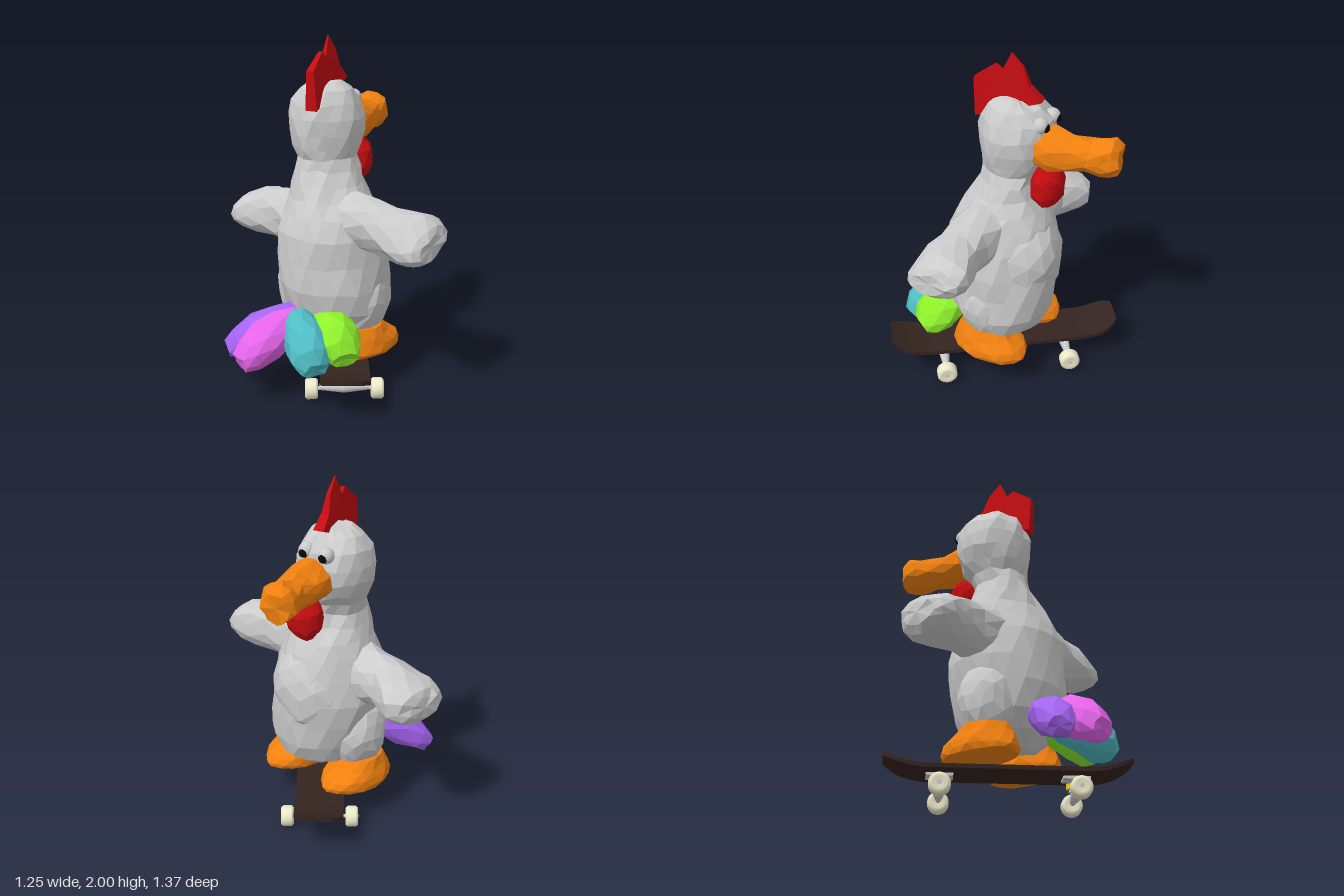
import * as THREE from 'three';

const mat = (color, flatShading = true) =>
  new THREE.MeshStandardMaterial({ color, flatShading, side: THREE.DoubleSide });
const GREY = mat(0xcccccc), RED = mat(0xc40c10), ORANGE = mat(0xf08010);
const METAL = mat(0xcccccc, false), WHEEL = mat(0xeeeacb, false), BLACK = mat(0x080808, false);
const UP = new THREE.Vector3(0, 1, 0);

function add(parent, name, geo, material, x = 0, y = 0, z = 0) {
  const m = new THREE.Mesh(geo, material);
  m.name = name;
  m.position.set(x, y, z);
  parent.add(m);
  return m;
}

// small position-based unevenness for the hand-cut, faceted look
function roughen(geo, amount) {
  const p = geo.attributes.position;
  for (let i = 0; i < p.count; i++) {
    const x = p.getX(i), y = p.getY(i), z = p.getZ(i);
    p.setXYZ(i,
      x + amount * Math.sin(47 * x + 61 * y + 29 * z),
      y + amount * Math.sin(31 * x - 43 * y + 57 * z + 2),
      z + amount * Math.sin(53 * x + 37 * y - 41 * z + 4));
  }
  geo.computeVertexNormals();
  return geo;
}

// skin over parallel elliptical sections: [x, y, z, halfWidth, halfHeight], stacked along t
function loft(rows, sides, t, rough = 0.008) {
  const centre = r => new THREE.Vector3(r[0], r[1], r[2]);
  const last = rows.length - 1;
  t ??= centre(rows[last]).sub(centre(rows[0])).normalize();
  const ref = t === UP ? new THREE.Vector3(0, 0, 1) : UP;
  const s = ref.clone().cross(t).normalize(), v = t.clone().cross(s);
  const pos = [], idx = [];
  rows.forEach((r, i) => {
    for (let j = 0; j < sides; j++) {
      const a = (j + (i % 2) / 2) / sides * Math.PI * 2;
      pos.push(...centre(r).addScaledVector(s, Math.cos(a) * r[3]).addScaledVector(v, Math.sin(a) * r[4]).toArray());
    }
  });
  const first = rows.length * sides;
  pos.push(...rows[0].slice(0, 3), ...rows[last].slice(0, 3));
  for (let j = 0; j < sides; j++) {
    const k = (j + 1) % sides;
    for (let i = 0; i < last; i++) {
      const a = i * sides + j, b = i * sides + k, c = b + sides, d = a + sides;
      if (i % 2) idx.push(a, b, c, a, c, d);
      else idx.push(a, b, d, b, c, d);
    }
    idx.push(first, k, j, first + 1, last * sides + j, last * sides + k);
  }
  const g = new THREE.BufferGeometry();
  g.setAttribute('position', new THREE.Float32BufferAttribute(pos, 3));
  g.setIndex(idx);
  return roughen(g, rough);
}

const blob = (rx, ry, rz) => roughen(new THREE.IcosahedronGeometry(1, 2).scale(rx, ry, rz), 0.006);

function buildSkateboard() {
  const board = new THREE.Group();
  board.name = 'skateboard';
  board.position.x = 0.072;

  // deck with rounded, upturned ends
  const deck = new THREE.BoxGeometry(0.28, 0.024, 1.37, 6, 1, 48);
  const p = deck.attributes.position;
  for (let i = 0; i < p.count; i++) {
    const z = Math.abs(p.getZ(i));
    const k = Math.max(0, (z - 0.54) / 0.145), rise = Math.max(0, z - 0.44);
    p.setX(i, p.getX(i) * Math.sqrt(1 - 0.65 * k ** 3));
    p.setY(i, p.getY(i) + 0.178 + 1.2 * rise * rise);
  }
  deck.computeVertexNormals();
  add(board, 'deck', deck, mat(0x35241f));

  // wheel profile turned around its axle
  const wheel = new THREE.LatheGeometry([[0, -0.032], [0.035, -0.036], [0.05, -0.036], [0.06, -0.024],
    [0.06, 0.024], [0.05, 0.036], [0.035, 0.036], [0, 0.032]].map(q => new THREE.Vector2(...q)), 28).rotateZ(Math.PI / 2);
  for (const side of [-1, 1]) {
    const truck = new THREE.Group();
    truck.name = 'truck';
    truck.position.z = side * 0.375;
    board.add(truck);
    add(truck, 'basePlate', new THREE.BoxGeometry(0.1, 0.016, 0.15), METAL, 0, 0.158, 0);
    add(truck, 'axle', new THREE.CylinderGeometry(0.011, 0.011, 0.45, 12).rotateZ(Math.PI / 2), METAL, 0, 0.062, 0);
    for (const e of [-1, 1]) {
      add(truck, 'hanger', new THREE.CylinderGeometry(0.018, 0.034, 0.14, 12).rotateZ(-e * Math.PI / 2), METAL, e * 0.07, 0.07, 0);
      add(truck, 'wheel', wheel, WHEEL, e * 0.187, 0.06, 0);
    }
    add(truck, 'pivot', new THREE.CylinderGeometry(0.022, 0.03, 0.08, 12), METAL, 0, 0.11, 0).rotation.x = side * 0.4;
    add(truck, 'bushing', new THREE.CylinderGeometry(0.026, 0.026, 0.03, 14), mat(0xe8d020, false), 0, 0.115, -side * 0.03);
  }
  return board;
}

// turned group: local +z is the way the bird's body faces
function buildLimbs() {
  const limbs = new THREE.Group();
  limbs.name = 'limbs';
  limbs.rotation.y = Math.PI * 0.75;

  // wings, flaring towards blunt ends
  const wing = e => loft([[0.1, 0.01, 0, 0.17, 0.18], [0.22, 0.01, 0.01, 0.155, 0.175], [0.34, 0.005, 0.02, 0.135, 0.16],
    [0.44, 0, 0.02, 0.14, 0.15], [0.54, -0.01, 0.03, 0.175, 0.145], [0.62, -0.02, 0.04, 0.195, 0.13],
    [0.69, -0.03, 0.035, 0.17, 0.105], [0.72, -0.035, 0.03, 0.115, 0.065]].map(r => [e * r[0], ...r.slice(1)]), 12);
  add(limbs, 'rightWing', wing(1), GREY, 0, 0.895, -0.02);
  add(limbs, 'leftWing', wing(-1), GREY, 0, 0.965, 0).rotation.x = -0.25;

  // chest swelling forward
  add(limbs, 'chest', blob(0.27, 0.31, 0.26), GREY, 0, 0.78, 0.115);

  // broad flat feet, ankles and thighs
  for (const [e, f] of [[1, 0.02], [-1, 0.07]]) {
    const leg = new THREE.Group();
    leg.name = 'leg';
    leg.position.set(e * 0.215, 0, f);
    limbs.add(leg);
    add(leg, 'foot', loft([[0, 0.198, 0, 0.155, 0.235], [0, 0.225, 0, 0.165, 0.245], [0, 0.265, -0.005, 0.16, 0.225],
      [0, 0.31, -0.03, 0.14, 0.175], [0, 0.36, -0.04, 0.12, 0.14]], 16, UP, 0.005), ORANGE);
    add(leg, 'thigh', blob(0.165, 0.23, 0.18), GREY, -e * 0.025, 0.51, -0.03);
  }
  return limbs;
}

function buildHead() {
  const head = new THREE.Group();
  head.name = 'head';

  // beak with a swollen tip
  add(head, 'beak', loft([[0.08, 1.485, -0.19, 0.125, 0.125], [0.13, 1.48, -0.26, 0.13, 0.125], [0.175, 1.47, -0.35, 0.115, 0.107],
    [0.22, 1.472, -0.44, 0.105, 0.092], [0.25, 1.478, -0.51, 0.108, 0.108], [0.27, 1.475, -0.56, 0.103, 0.113],
    [0.285, 1.46, -0.6, 0.08, 0.085]], 12), ORANGE);

  add(head, 'wattle', blob(0.115, 0.14, 0.09), RED, 0.152, 1.268, -0.232).rotation.y = Math.PI * 0.75;

  // eyes with pupils
  for (const [x, z] of [[0.032, -0.272], [0.138, -0.185]]) {
    add(head, 'eye', new THREE.SphereGeometry(0.045, 20, 14), METAL, x, 1.63, z);
    add(head, 'pupil', new THREE.SphereGeometry(0.027, 16, 12), BLACK, x + 0.015, 1.623, z - 0.023);
  }

  // jagged comb, thin towards the top
  const outline = [[-0.15, 1.61], [0, 1.66], [0.23, 1.745], [0.155, 1.82], [0.12, 1.92], [0.05, 2], [0, 1.89], [-0.04, 1.92], [-0.16, 1.83]];
  const comb = new THREE.ExtrudeGeometry(new THREE.Shape(outline.map(q => new THREE.Vector2(...q))),
    { depth: 0.07, bevelEnabled: false }).translate(0, 0, -0.035);
  const p = comb.attributes.position;
  for (let i = 0; i < p.count; i++)
    p.setZ(i, p.getZ(i) * THREE.MathUtils.clamp((2.02 - p.getY(i)) / 0.3, 0.1, 1));
  comb.computeVertexNormals();
  add(head, 'comb', comb, RED, -0.035, 0, -0.01).rotation.y = 1.07;
  return head;
}

export function createModel() {
  const model = new THREE.Group();
  model.name = 'skatingBird';
  model.add(buildSkateboard(), buildLimbs(), buildHead());

  // pear-shaped body running up through the neck into the round head
  add(model, 'body', loft([[0.05, 0.28, 0, 0.15, 0.15], [0.06, 0.35, 0, 0.26, 0.24], [0.045, 0.46, 0, 0.31, 0.3],
    [0.03, 0.6, 0, 0.325, 0.325], [0.02, 0.75, -0.01, 0.325, 0.33], [0.01, 0.9, -0.01, 0.305, 0.32], [0.005, 1.02, -0.02, 0.265, 0.285],
    [0, 1.1, -0.03, 0.23, 0.24], [-0.01, 1.18, -0.03, 0.205, 0.19], [-0.01, 1.26, -0.04, 0.185, 0.155],
    [-0.015, 1.32, -0.06, 0.175, 0.16], [-0.018, 1.38, -0.08, 0.195, 0.19], [-0.018, 1.46, -0.09, 0.213, 0.213],
    [-0.018, 1.55, -0.09, 0.213, 0.216], [-0.018, 1.63, -0.09, 0.195, 0.198], [-0.018, 1.7, -0.08, 0.145, 0.15],
    [-0.018, 1.745, -0.07, 0.08, 0.08], [-0.018, 1.755, -0.06, 0.03, 0.03]], 18, UP), GREY);

  // fanned, drooping tail feathers: colour, root, tip, width and height factors
  const feathers = [
    ['purpleFeather', 0xa564f2, [-0.18, 0.43, 0.17], [-0.59, 0.23, 0.2], 0.9, 1],
    ['pinkFeather', 0xe565ea, [-0.17, 0.43, 0.23], [-0.51, 0.25, 0.43], 0.95, 1.15],
    ['tealFeather', 0x4fbcc4, [-0.2, 0.43, 0.24], [-0.09, 0.25, 0.54], 1.05, 1.25],
    ['greenFeather', 0x8ff02c, [-0.03, 0.42, 0.22], [0.07, 0.29, 0.5], 1.08, 1.1],
  ];
  for (const [name, color, a, b, k, m] of feathers) {
    const rows = [[0, 0.09, 0.08], [0.3, 0.115, 0.1], [0.6, 0.125, 0.105], [0.85, 0.11, 0.085], [1, 0.07, 0.05]].map(([t, w, h]) =>
      [...a.map((q, i) => q + (b[i] - q) * t + (i === 1 ? 0.03 * Math.sin(t * Math.PI) : 0)), w * k, h * m]);
    add(model, name, loft(rows, 9), mat(color));
  }
  return model;
}
